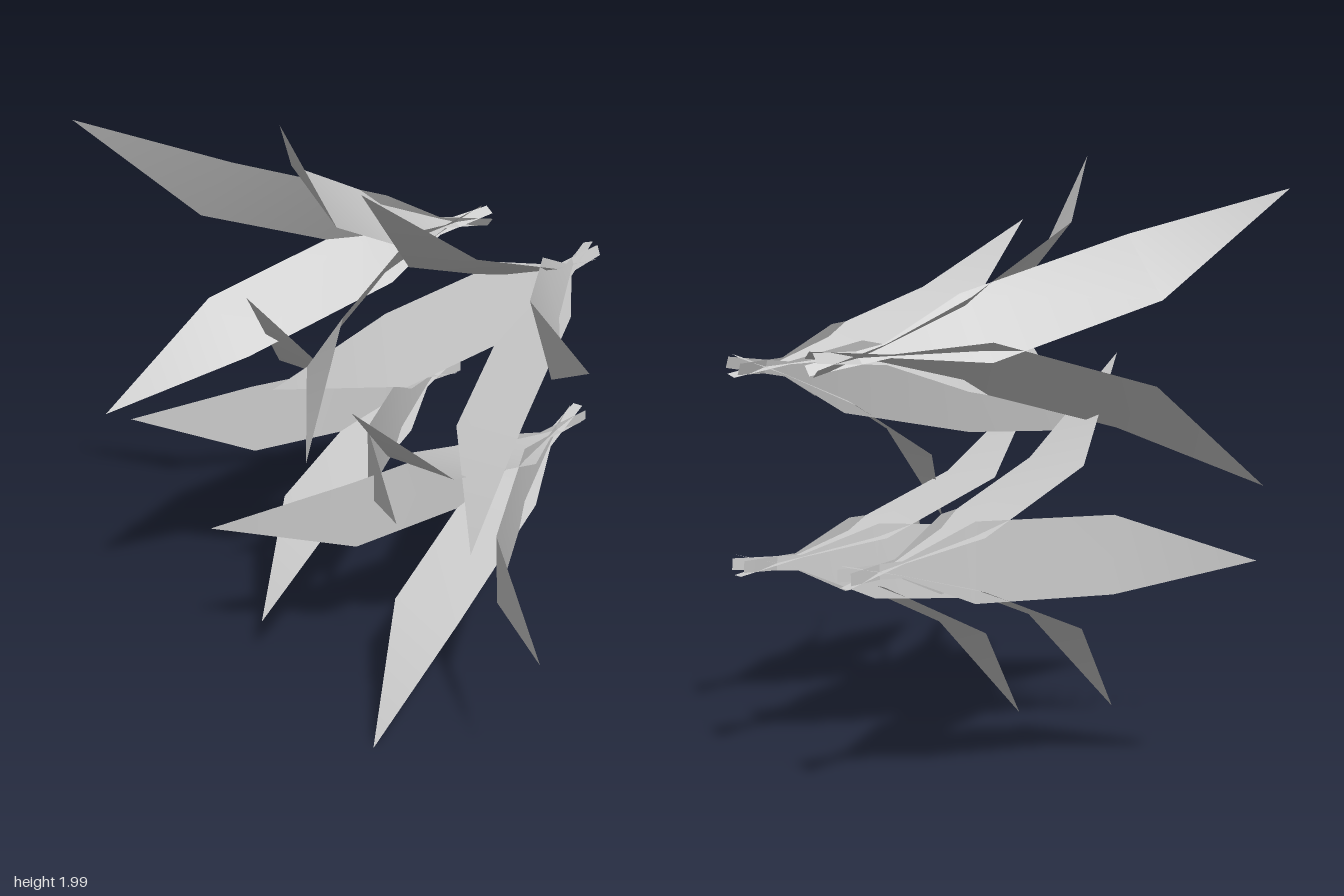
import * as THREE from 'three';

// Each plant: root of the stalks, centre of the ring of leaf tips,
// roll in degrees, and how far upper blade and tip spread from the axis
const PLANTS = [
  { name: 'upperRightPlant', root: [-0.2, 1.36, -0.71], top: [-0.307, 1.47, 0.64], roll: 53.6, upper: 0.31, tip: 0.655 },
  { name: 'upperLeftPlant', root: [0.25, 1.33, -0.69], top: [0.35, 1.25, 0.38], roll: 16.5, upper: 0.26, tip: 0.557 },
  { name: 'lowerRightPlant', root: [-0.305, 0.77, -0.68], top: [-0.305, 0.77, 0.39], roll: 0, upper: 0.255, tip: 0.583 },
  { name: 'lowerLeftPlant', root: [0.228, 0.72, -0.7], top: [0.277, 0.61, 0.547], roll: -1, upper: 0.27, tip: 0.61 },
];

// One thin leaf growing along +z and bending out to +x, closing in a pointed tip
function leafGeometry(length, upper, tip) {
  // Cross-sections: distance from the axis, share of the length, half width
  const sections = [
    [-0.032, 0, 0.018],
    [0.018, 0.18, 0.025],
    [0.08, 0.385, 0.123],
    [upper, 0.755, 0.122],
  ];
  const positions = [];
  const index = [];
  sections.forEach(([out, along, half], i) => {
    positions.push(out, half, along * length, out, -half, along * length);
    const a = 2 * i;
    index.push(a, a + 1, a + 2);
    if (i < sections.length - 1) index.push(a + 1, a + 3, a + 2);
  });
  positions.push(tip, 0, length);

  const geometry = new THREE.BufferGeometry();
  geometry.setAttribute('position', new THREE.Float32BufferAttribute(positions, 3));
  geometry.setIndex(index);
  geometry.computeVertexNormals();
  return geometry;
}

export function createModel() {
  const model = new THREE.Group();
  model.name = 'leafyPlants';
  const material = new THREE.MeshStandardMaterial({ color: 0xcccccc, side: THREE.DoubleSide });
  const forward = new THREE.Vector3(0, 0, 1);

  for (const { name, root, top, roll, upper, tip } of PLANTS) {
    const plant = new THREE.Group();
    plant.name = name;
    plant.position.set(...root);
    const axis = new THREE.Vector3(...top).sub(plant.position);
    const geometry = leafGeometry(axis.length(), upper, tip);
    plant.quaternion.setFromUnitVectors(forward, axis.normalize());

    // Four leaves at right angles around the plant's axis
    for (let i = 0; i < 4; i++) {
      const leaf = new THREE.Mesh(geometry, material);
      leaf.name = `leaf${i + 1}`;
      leaf.rotation.z = THREE.MathUtils.degToRad(roll + 90 * i);
      plant.add(leaf);
    }
    model.add(plant);
  }
  return model;
}
